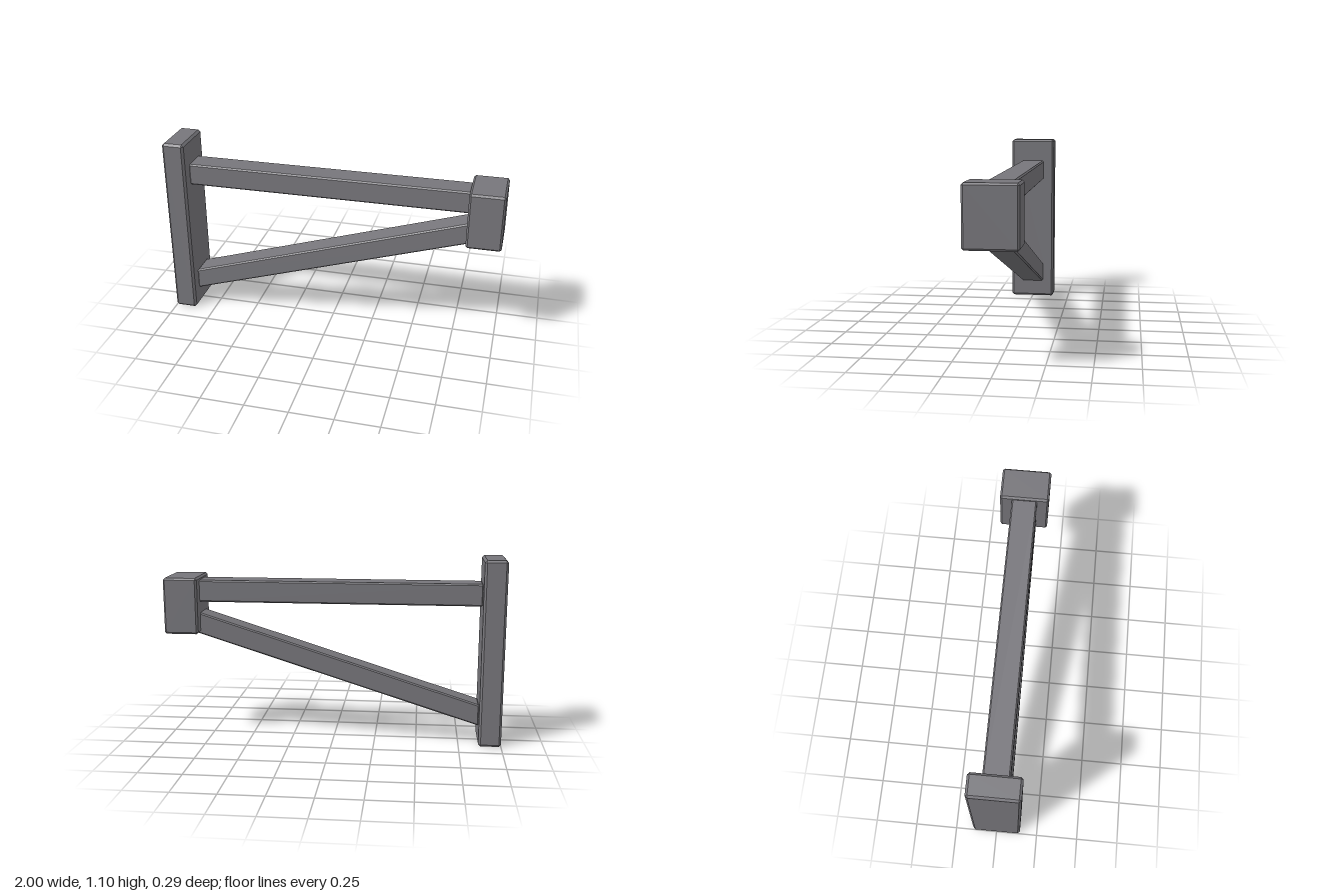
import * as THREE from 'three';
import { ConvexGeometry } from 'three/addons/geometries/ConvexGeometry.js';

// Box with bevelled edges; its y follows x by the given slope, keeping the ends upright
function bevelledBox(w, h, d, bevel, slope = 0) {
  const points = [];
  for (const sx of [-1, 1]) for (const sy of [-1, 1]) for (const sz of [-1, 1]) {
    for (let full = 0; full < 3; full++) {
      const [x, y, z] = [w, h, d].map((s, i) => s / 2 - (i === full ? 0 : bevel));
      points.push(new THREE.Vector3(sx * x, sy * y + sx * x * slope, sz * z));
    }
  }
  return new ConvexGeometry(points);
}

export function createModel() {
  const group = new THREE.Group();
  const grey = new THREE.MeshStandardMaterial({ color: 0x77767b });
  grey.name = 'grey';

  const add = (name, x0, x1, y, h, d, bevel, slope) => {
    const mesh = new THREE.Mesh(bevelledBox(x1 - x0, h, d, bevel, slope), grey);
    mesh.name = name;
    mesh.position.set((x0 + x1) / 2, y, 0);
    group.add(mesh);
  };

  // Upright plate and the block at the far end
  add('mountingPlate', -1, -0.867, 0.551, 1.102, 0.29, 0.013);
  add('endBlock', 0.798, 1, 0.809, 0.334, 0.29, 0.011);

  // Level beam and sloping strut between them
  add('upperBeam', -0.87, 0.825, 0.892, 0.13, 0.15, 0.008);
  add('diagonalStrut', -0.87, 0.825, 0.438, 0.128, 0.15, 0.008, 0.315);

  return group;
}
